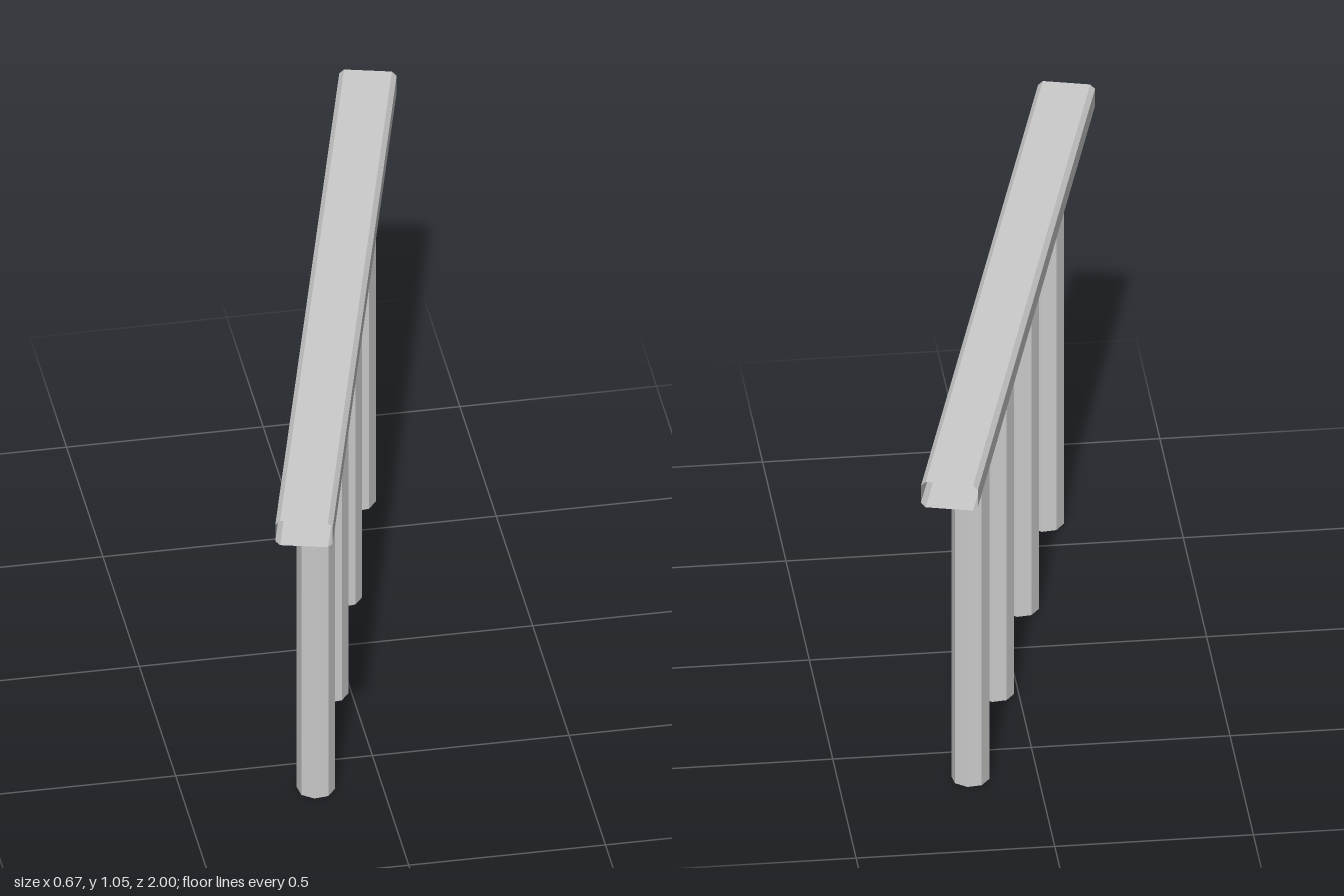
import * as THREE from 'three';

const material = new THREE.MeshStandardMaterial({
  color: 0xcccccc, flatShading: true, side: THREE.DoubleSide,
});

// Hollow rail, open at both ends, with a chamfered rectangular section
function railGeometry(width, height, length, chamfer) {
  const geo = new THREE.CylinderGeometry(1, 1, length, 8, 1, true, Math.PI / 8);
  const pos = geo.attributes.position;
  // push each octagon corner out to the matching corner of the section
  const snap = (v, half) => Math.sign(v) * (Math.abs(v) > 0.7 ? half : half - chamfer);
  for (let i = 0; i < pos.count; i++) {
    pos.setX(i, snap(pos.getX(i), width / 2));
    pos.setZ(i, snap(pos.getZ(i), height / 2));
  }
  geo.rotateX(Math.PI / 2);
  geo.computeVertexNormals();
  return geo;
}

export function createModel() {
  const model = new THREE.Group();
  model.name = 'railing';

  const railBottom = 0.98, railHeight = 0.073;

  // The railing runs along its own z, turned 15 degrees
  const railing = new THREE.Group();
  railing.name = 'railAndPosts';
  railing.rotation.y = -Math.PI / 12;
  model.add(railing);

  const rail = new THREE.Mesh(railGeometry(0.144, railHeight, 2.032, 0.012), material);
  rail.name = 'topRail';
  rail.position.y = railBottom + railHeight / 2;
  railing.add(rail);

  // Four evenly spaced octagonal posts, open tubes
  const postGeo = new THREE.CylinderGeometry(0.048, 0.048, railBottom, 8, 1, true);
  const spacing = 0.431;
  for (let i = 0; i < 4; i++) {
    const post = new THREE.Mesh(postGeo, material);
    post.name = `post${i + 1}`;
    post.position.set(0, railBottom / 2, (1.5 - i) * spacing - 0.008);
    railing.add(post);
  }
  return model;
}
